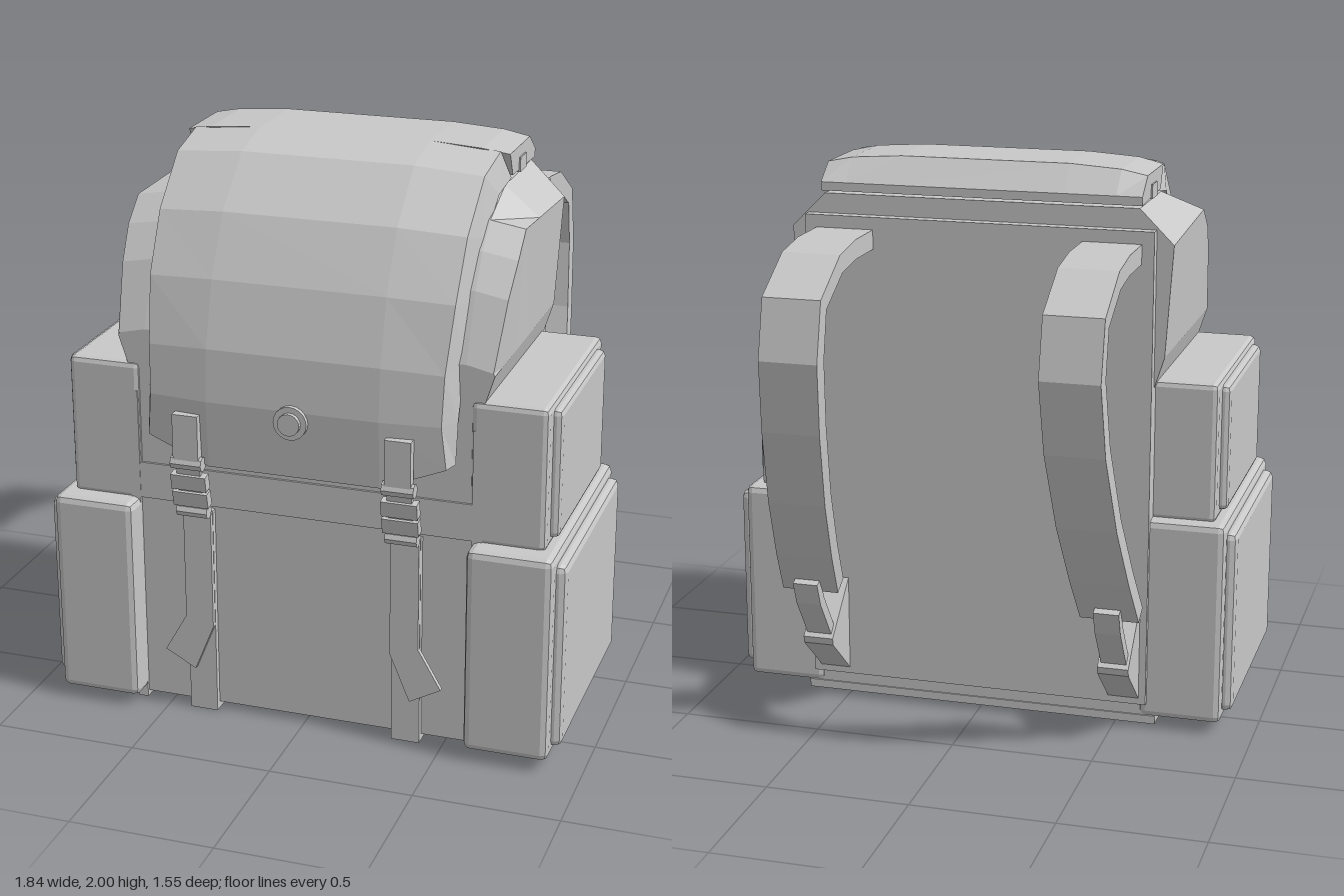
import * as THREE from 'three';
import { RoundedBoxGeometry } from 'three/addons/geometries/RoundedBoxGeometry.js';

const fabric = new THREE.MeshStandardMaterial({ color: 0xc8c8c8, flatShading: true });
fabric.name = 'greyFabric';

// Closed skin through equal-length rings of [x, y, z], capped at both ends
function loft(rings) {
  const n = rings[0].length, pos = rings.flat(), idx = [];
  for (let r = 0; r < rings.length - 1; r++) {
    for (let i = 0; i < n; i++) {
      const a = r * n + i, b = r * n + (i + 1) % n;
      idx.push(a, b, b + n, a, b + n, a + n);
    }
  }
  [0, rings.length - 1].forEach((r, end) => {
    const c = pos.length;
    pos.push([0, 1, 2].map(k => rings[r].reduce((s, p) => s + p[k], 0) / n));
    for (let i = 0; i < n; i++) {
      const a = r * n + i, b = r * n + (i + 1) % n;
      idx.push(c, end ? a : b, end ? b : a);
    }
  });
  // Turn the faces outward if the enclosed volume is negative
  const v = pos.map(p => new THREE.Vector3(...p));
  let volume = 0;
  for (let i = 0; i < idx.length; i += 3) {
    volume += v[idx[i]].dot(v[idx[i + 1]].clone().cross(v[idx[i + 2]]));
  }
  if (volume < 0) idx.reverse();
  const g = new THREE.BufferGeometry();
  g.setAttribute('position', new THREE.Float32BufferAttribute(pos.flat(), 3));
  g.setIndex(idx);
  const flat = g.toNonIndexed();
  flat.computeVertexNormals();
  return flat;
}

// Flat strap following a path of [x, y, z], thick in the yz plane
function ribbon(path, width, thick) {
  return loft(path.map((p, i) => {
    const a = path[Math.max(i - 1, 0)], b = path[Math.min(i + 1, path.length - 1)];
    const dy = b[1] - a[1], dz = b[2] - a[2], l = Math.hypot(dy, dz);
    const ny = -dz / l * thick / 2, nz = dy / l * thick / 2, w = width / 2;
    return [[p[0] - w, p[1] + ny, p[2] + nz], [p[0] + w, p[1] + ny, p[2] + nz],
      [p[0] + w, p[1] - ny, p[2] - nz], [p[0] - w, p[1] - ny, p[2] - nz]];
  }));
}

export function createModel() {
  const model = new THREE.Group();
  model.name = 'backpack';
  const add = (name, geo) => {
    const m = new THREE.Mesh(geo, fabric);
    m.name = name;
    model.add(m);
    return m;
  };
  // Box given by its limits, optionally with chamfered edges
  const box = (name, x0, x1, y0, y1, z0, z1, bevel = 0) => {
    const s = [Math.abs(x1 - x0), y1 - y0, z1 - z0];
    const g = bevel ? new RoundedBoxGeometry(...s, 1, bevel) : new THREE.BoxGeometry(...s);
    return add(name, g.translate((x0 + x1) / 2, (y0 + y1) / 2, (z0 + z1) / 2));
  };

  // Main bag
  box('mainBody', -0.62, 0.62, 0.03, 1.26, -0.16, 0.64);
  box('basePanel', -0.65, 0.65, 0.02, 0.05, -0.165, 0.6);
  box('backPanel', -0.62, 0.62, 0.1, 1.8, -0.19, -0.14);
  box('frontBand', -0.6, 0.6, 0.78, 0.91, 0.63, 0.648);

  // Bulging upper body: z, wall width, wall height, roof height
  add('upperBody', loft([
    [-0.15, 0.68, 1.75, 1.87], [0.2, 0.68, 1.77, 1.87], [0.38, 0.68, 1.78, 1.8],
    [0.47, 0.68, 1.7, 1.72], [0.55, 0.67, 1.59, 1.61], [0.64, 0.65, 1.37, 1.39],
  ].map(([z, w, yw, yt]) => {
    const half = [[0.62, 1.25], [0.655, 1.36], [w, yw], [0.56, yt]];
    return [...half.map(([x, y]) => [x, y, z]), ...half.reverse().map(([x, y]) => [-x, y, z])];
  })));

  // Front flap: outer middle y z, outer edge y z width, inner y z width
  add('flap', loft([
    [2.0, 0.2, 1.98, 0.19, 0.54, 1.88, 0.14, 0.565],
    [1.96, 0.38, 1.94, 0.37, 0.535, 1.86, 0.28, 0.562],
    [1.8, 0.56, 1.785, 0.545, 0.53, 1.75, 0.42, 0.555],
    [1.6, 0.67, 1.59, 0.655, 0.525, 1.57, 0.54, 0.55],
    [1.38, 0.735, 1.37, 0.715, 0.51, 1.37, 0.615, 0.545],
    [1.2, 0.75, 1.2, 0.73, 0.505, 1.2, 0.655, 0.54],
    [0.965, 0.735, 1.05, 0.72, 0.52, 1.05, 0.66, 0.535],
  ].map(([y, z, ye, ze, w, yi, zi, wi], i, rows) => {
    const ym = i === rows.length - 1 ? y : yi;
    return [[-w, ye, ze], [-0.3, y, z], [0.3, y, z], [w, ye, ze],
      [wi, yi, zi], [0.3, ym, zi], [-0.3, ym, zi], [-wi, yi, zi]];
  })));

  // Top lid behind the flap
  add('topLid', loft([-0.57, -0.48, -0.3, 0.3, 0.48, 0.57].map(x => {
    const a = Math.abs(x), drop = a > 0.5 ? 0.03 : a > 0.4 ? 0.012 : 0, dz = a > 0.5 ? 0.02 : 0;
    return [[x, 2 - drop, 0.2 - dz], [x, 2 - drop, -0.08], [x, 1.91, -0.16],
      [x, 1.88, -0.16], [x, 1.89, 0.14]];
  })));

  // Round stud on the flap
  const disc = (name, r, h, z) => add(name, new THREE.CylinderGeometry(r, r, h, 20).rotateX(Math.PI / 2).translate(0, 1.165, z));
  disc('stud', 0.058, 0.03, 0.75);
  disc('studCentre', 0.038, 0.02, 0.77);

  for (const s of [1, -1]) {
    // Side pockets with raised outer plates
    box('upperPocket', s * 0.58, s * 0.84, 0.77, 1.27, -0.12, 0.65, 0.02);
    box('upperPocketPlate', s * 0.8, s * 0.87, 0.8, 1.25, -0.05, 0.59, 0.02);
    box('lowerPocket', s * 0.59, s * 0.885, 0.045, 0.78, -0.17, 0.73, 0.025);
    box('lowerPocketPlate', s * 0.84, s * 0.92, 0.08, 0.745, -0.13, 0.68, 0.025);
    box('lidTab', s * 0.54, s * 0.575, 1.88, 1.93, -0.02, 0.06);
    box('sideSeam', s * 0.59, s * 0.625, 0.01, 1.17, 0.6, 0.65);

    // Front straps and hanging webbing tail
    box('frontStrap', s * 0.32, s * 0.42, 0.005, 0.77, 0.6, 0.662);
    const tail = new THREE.Shape([[0.32, 0.76], [0.32, 0.34], [0.39, 0.17], [0.5, 0.23], [0.42, 0.37], [0.42, 0.76]]
      .map(([x, y]) => new THREE.Vector2(s * x, y)));
    add('webbingTail', new THREE.ExtrudeGeometry(tail, { depth: 0.018, bevelEnabled: false }).translate(0, 0, 0.665));
    box('flapStrap', s * 0.325, s * 0.415, 0.98, 1.15, 0.735, 0.768);

    // Buckle between flap and strap
    const bar = (y, z, r) => add('buckleBar', new THREE.CylinderGeometry(r, r, 0.11, 8).rotateZ(Math.PI / 2).translate(s * 0.37, y, z));
    bar(0.975, 0.748, 0.026);
    bar(0.785, 0.708, 0.024);
    add('buckleWebbing', ribbon([[s * 0.37, 0.98, 0.745], [s * 0.37, 0.78, 0.708]], 0.085, 0.018));
    add('buckleSocket', ribbon([[s * 0.37, 0.93, 0.738], [s * 0.37, 0.875, 0.728]], 0.125, 0.035));
    add('bucklePlug', ribbon([[s * 0.37, 0.865, 0.726], [s * 0.37, 0.81, 0.714]], 0.125, 0.035));

    // Padded shoulder strap
    add('shoulderStrap', ribbon([
      [0.475, 1.722, -0.18], [0.475, 1.722, -0.37], [0.475, 1.702, -0.515], [0.475, 1.6, -0.695],
      [0.475, 1.415, -0.737], [0.485, 1.17, -0.7], [0.505, 0.9, -0.61], [0.525, 0.68, -0.5], [0.54, 0.52, -0.405],
    ].map(([x, y, z]) => [s * x, y, z]), 0.205, 0.068));
    add('lowerStrap', ribbon([[0.54, 0.55, -0.47], [0.54, 0.47, -0.44], [0.54, 0.31, -0.33]]
      .map(([x, y, z]) => [s * x, y, z]), 0.09, 0.04));

    // Triangular anchor wing at the strap's foot
    add('strapAnchor', loft([0.485, 0.595].map(x =>
      [[0.48, -0.18], [0.3, -0.37], [0.275, -0.365], [0.115, -0.18]].map(([y, z]) => [s * x, y, z]))));
  }
  return model;
}
